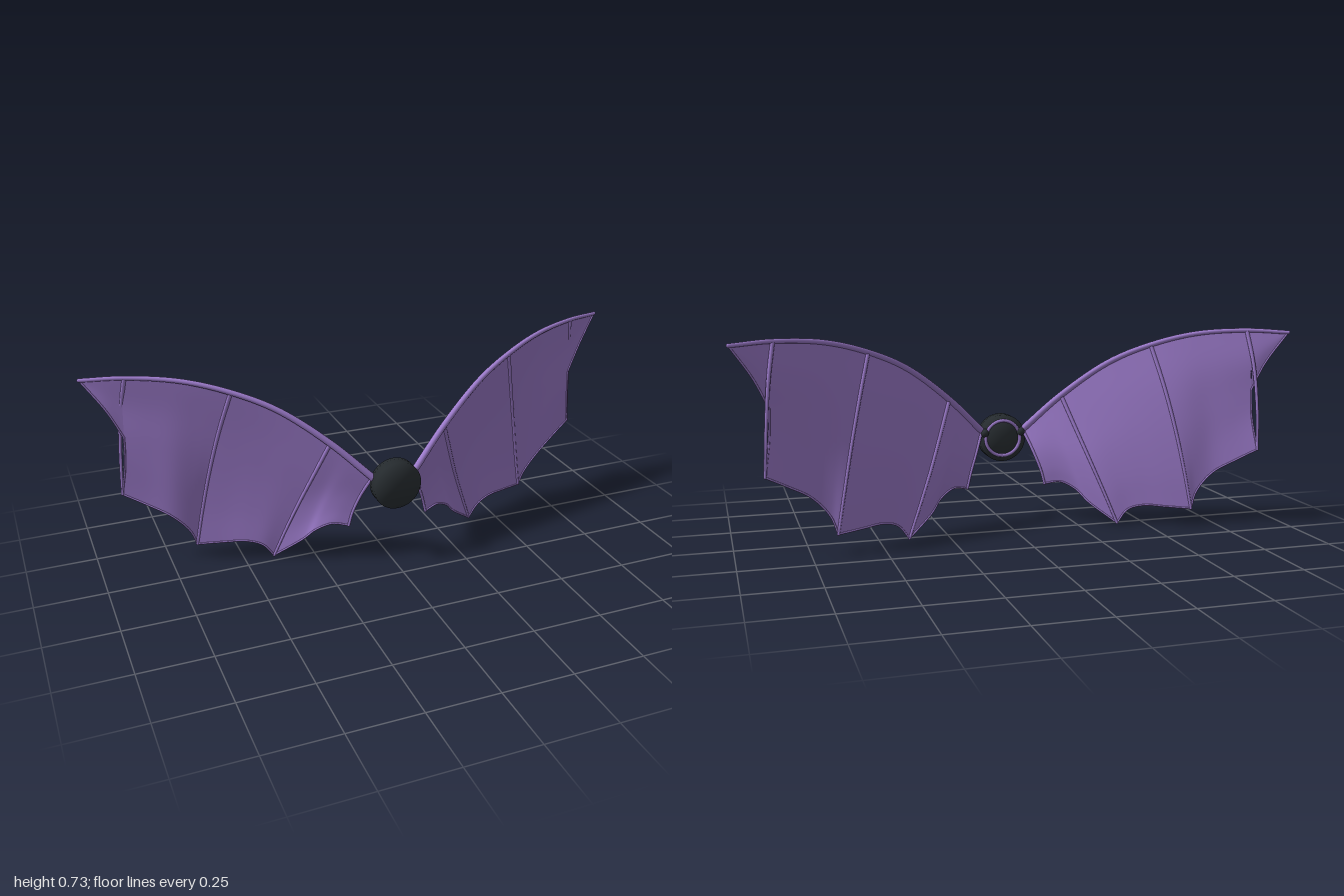
import * as THREE from 'three';
import { mergeVertices } from 'three/addons/utils/BufferGeometryUtils.js';

const purple = new THREE.MeshStandardMaterial({ color: 0xa07ed0, side: THREE.DoubleSide });
purple.name = 'wing purple';
const dark = new THREE.MeshStandardMaterial({ color: 0x2c3236 });
dark.name = 'hub charcoal';

function addMesh(group, name, geometry, material) {
  const mesh = new THREE.Mesh(geometry, material);
  mesh.name = name;
  group.add(mesh);
  return mesh;
}

// Tube along a curve, tapering from r0 to r1, with rounded ends
function addRod(group, name, curve, r0, r1 = r0, segments = 36) {
  const sides = 10;
  const g = new THREE.TubeGeometry(curve, segments, 1, sides, false);
  const pos = g.attributes.position, v = new THREE.Vector3();
  for (let i = 0; i < pos.count; i++) {
    const u = Math.floor(i / (sides + 1)) / segments;
    const c = curve.getPointAt(u);
    v.fromBufferAttribute(pos, i).sub(c).multiplyScalar(r0 + (r1 - r0) * u).add(c);
    pos.setXYZ(i, v.x, v.y, v.z);
  }
  addMesh(group, name, g, purple);
  [[0, r0], [1, r1]].forEach(([t, r]) => {
    addMesh(group, name + 'End', new THREE.SphereGeometry(r, 10, 8), purple).position.copy(curve.getPoint(t));
  });
}

// Skin panel blended between four boundary curves
function panelGeometry(top, bottom, left, right, nu = 20, nv = 20) {
  const positions = [], index = [];
  const c00 = top(0), c10 = top(1), c01 = bottom(0), c11 = bottom(1);
  for (let j = 0; j <= nv; j++) {
    for (let i = 0; i <= nu; i++) {
      const u = i / nu, v = j / nv;
      const p = new THREE.Vector3()
        .addScaledVector(top(u), 1 - v).addScaledVector(bottom(u), v)
        .addScaledVector(left(v), 1 - u).addScaledVector(right(v), u)
        .addScaledVector(c00, -(1 - u) * (1 - v)).addScaledVector(c10, -u * (1 - v))
        .addScaledVector(c01, -(1 - u) * v).addScaledVector(c11, -u * v);
      positions.push(p.x, p.y, p.z);
      if (i < nu && j < nv) {
        const a = j * (nu + 1) + i, b = a + nu + 1;
        index.push(a, b, a + 1, b, b + 1, a + 1);
      }
    }
  }
  const g = new THREE.BufferGeometry();
  g.setAttribute('position', new THREE.Float32BufferAttribute(positions, 3));
  g.setIndex(index);
  g.computeVertexNormals();
  return g;
}

function createWing(side, name) {
  const wing = new THREE.Group();
  wing.name = name;
  const curve = (pts) => new THREE.CatmullRomCurve3(
    pts.map(([x, y, z]) => new THREE.Vector3(side * x, y, z)), false, 'centripetal');
  const sparZ = (x) => 0.155 - 0.372 * (x - 0.08);

  // Leading edge; ribs hang from points 1, 3 and 5
  const sparXY = [[0.08, 0.352], [0.215, 0.483], [0.38, 0.608], [0.525, 0.674], [0.68, 0.716], [0.853, 0.729], [0.994, 0.722]];
  const sparPts = sparXY.map(([x, y]) => [x, y, sparZ(x)]);
  const spar = curve(sparPts);
  const [root, h1, , h2, , h3, tip] = sparPts;

  // Rib feet along the trailing edge
  const f0 = [0.15, 0.149, 0.10], f1 = [0.395, 0.01, -0.028];
  const f2 = [0.656, 0.067, -0.114], f3 = [0.895, 0.288, -0.167];
  const notch = [0.872, 0.51, -0.147];

  const rootEdge = curve([root, [0.112, 0.27, 0.12], [0.137, 0.2, 0.104], f0]);
  const rib1 = curve([h1, [0.26, 0.36, 0.062], [0.305, 0.24, 0.022], [0.352, 0.12, -0.008], f1]);
  const rib2 = curve([h2, [0.565, 0.52, -0.052], [0.601, 0.36, -0.083], [0.632, 0.2, -0.104], f2]);
  const rib3 = curve([h3, [0.873, 0.6, -0.158], [0.886, 0.45, -0.17], f3]);
  const skinEdge = curve([h3, [0.866, 0.62, -0.147], notch, [0.877, 0.41, -0.15], f3]);
  const upperEdge = curve([h3, [0.866, 0.62, -0.147], notch]);

  const scallops = [
    curve([f0, [0.205, 0.158, 0.081], [0.26, 0.13, 0.054], [0.3, 0.085, 0.025], f1]),
    curve([f1, [0.435, 0.06, -0.033], [0.49, 0.077, -0.052], [0.57, 0.073, -0.083], f2]),
    curve([f2, [0.68, 0.13, -0.107], [0.74, 0.198, -0.112], [0.82, 0.247, -0.14], f3]),
    curve([notch, [0.92, 0.61, -0.158], tip]),
  ];

  // Skin panels between neighbouring ribs
  const sides = [[rootEdge, rib1], [rib1, rib2], [rib2, skinEdge], [upperEdge, null]];
  const spans = [[0, 1], [1, 3], [3, 5], [5, 6]];
  scallops.forEach((scallop, k) => {
    const [a, b] = spans[k], [l, r] = sides[k];
    const tipPoint = spar.getPoint(1);
    addMesh(wing, 'membrane' + (k + 1), panelGeometry(
      (u) => spar.getPoint((a + (b - a) * u) / 6),
      (u) => scallop.getPoint(u),
      (v) => l.getPoint(v),
      (v) => (r ? r.getPoint(v) : tipPoint.clone())), purple);
  });

  // Bones and hems
  addRod(wing, 'leadingSpar', spar, 0.013, 0.007, 60);
  addRod(wing, 'rootEdge', rootEdge, 0.006, 0.005);
  [rib1, rib2, rib3].forEach((rib, i) => addRod(wing, 'rib' + (i + 1), rib, 0.0075, 0.005));
  scallops.forEach((s, i) => addRod(wing, 'hem' + (i + 1), s, 0.0035));
  addRod(wing, 'outerHem', curve([notch, [0.877, 0.41, -0.15], f3]), 0.0035);
  return wing;
}

export function createModel() {
  const model = new THREE.Group();
  model.name = 'batWings';
  const hubY = 0.323;

  // Round hub with softly shaded rims
  let disc = new THREE.CylinderGeometry(0.088, 0.088, 0.046, 40);
  disc.deleteAttribute('normal');
  disc.deleteAttribute('uv');
  disc = mergeVertices(disc);
  disc.computeVertexNormals();
  disc.rotateX(Math.PI / 2);
  addMesh(model, 'hub', disc, dark).position.set(0, hubY, 0.172);

  // Ring on the back of the hub
  addMesh(model, 'backRing', new THREE.TorusGeometry(0.066, 0.006, 10, 40), purple).position.set(0, hubY, 0.147);

  for (const side of [1, -1]) {
    // Mount where each wing meets the hub
    addMesh(model, 'wingMount', new THREE.SphereGeometry(0.016, 16, 12), dark)
      .position.set(side * 0.07, 0.345, 0.149);
    model.add(createWing(side, side > 0 ? 'leftWing' : 'rightWing'));
  }
  return model;
}
